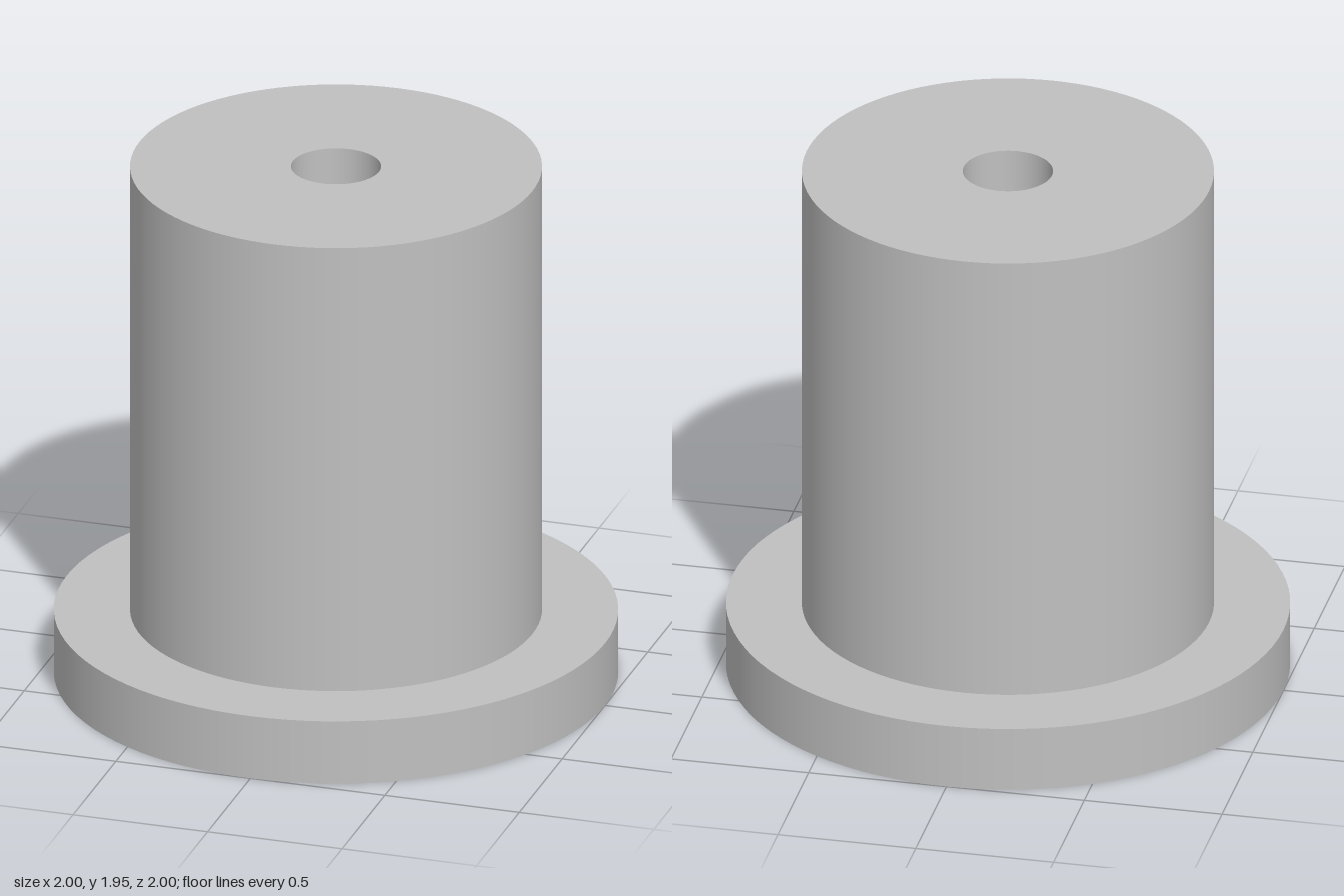
import * as THREE from 'three';

const SEGMENTS = 96;

export function createModel() {
  const model = new THREE.Group();
  model.name = 'flangedBushing';
  const grey = new THREE.MeshStandardMaterial({ color: 0xc0c0c0 });
  grey.name = 'grey';

  const height = 1.95, flangeTop = 0.24, holeFloor = 0.24;
  const flangeRadius = 1, shaftRadius = 0.73, holeRadius = 0.16;

  // Each straight run of a profile is its own lathe, so corners stay sharp
  function addTurned(name, profile) {
    const part = new THREE.Group();
    part.name = name;
    for (let i = 0; i < profile.length - 1; i++) {
      const run = [profile[i], profile[i + 1]].map(([r, y]) => new THREE.Vector2(r, y));
      const mesh = new THREE.Mesh(new THREE.LatheGeometry(run, SEGMENTS), grey);
      mesh.name = name + 'Face' + (i + 1);
      part.add(mesh);
    }
    model.add(part);
  }

  // Solid base disc with its exposed ring on top
  addTurned('flange', [[0, 0], [flangeRadius, 0], [flangeRadius, flangeTop], [shaftRadius, flangeTop]]);
  // Upright cylinder and its annular top
  addTurned('shaft', [[shaftRadius, flangeTop], [shaftRadius, height], [holeRadius, height]]);
  // Blind central hole, closed by the flange
  addTurned('bore', [[holeRadius, height], [holeRadius, holeFloor], [0, holeFloor]]);

  return model;
}
